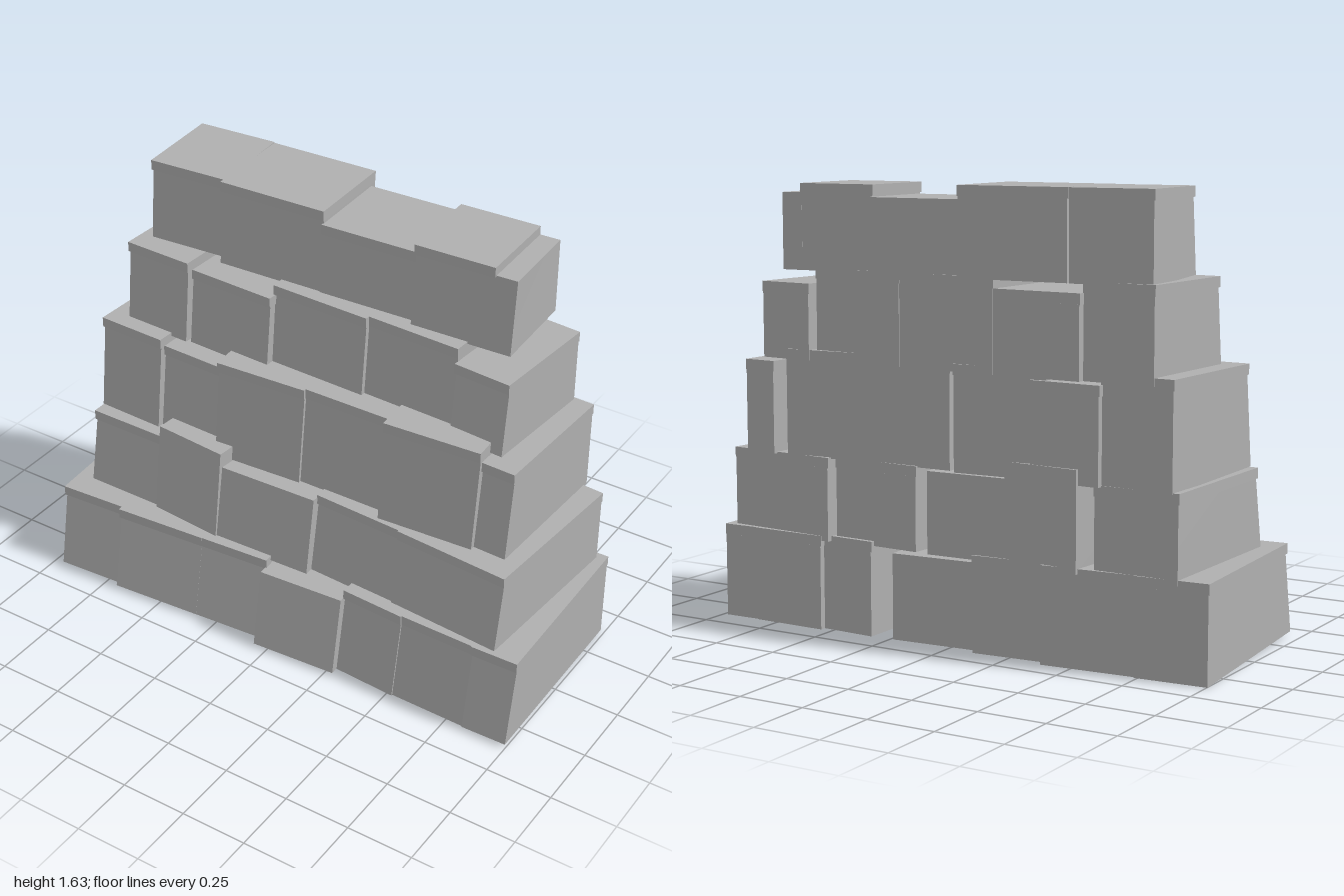
import * as THREE from 'three';

// Courses from the ground up. Each stone starts where its neighbour ends:
// [right edge, front z, yaw slope, drop below the course top (optional)]
const courses = [
  { name: 'baseCourse', left: -0.955, y: 0.015, top: 0.363, lean: 0.055, plain: [3], stones: [
    [-0.69, 0.4, -0.06], [-0.33, 0.398, -0.07], [-0.05, 0.375, -0.07], [0.285, 0.395, -0.06, 0.033],
    [0.53, 0.363, 0.06], [0.825, 0.368, 0.02], [0.998, 0.373, -0.02]] },
  { name: 'secondCourse', left: -0.9, y: 0.345, top: 0.653, lean: 0.05, plain: [1, 2], stones: [
    [-0.585, 0.26, 0.01], [-0.29, 0.288, 0.09, -0.05], [0.105, 0.289, -0.03, 0.01],
    [0.46, 0.26, 0.055], [0.9, 0.292, 0.075]] },
  { name: 'thirdCourse', left: -0.895, y: 0.648, top: 1.028, lean: 0.04, plain: [], stones: [
    [-0.625, 0.178, 0.04], [-0.355, 0.165, 0.04, 0.036], [0.002, 0.185, -0.055],
    [0.358, 0.164, 0], [0.725, 0.196, -0.06, -0.01], [0.85, 0.168, 0.04, 0.038]] },
  { name: 'fourthCourse', left: -0.82, y: 1.0, top: 1.333, lean: 0.03, plain: [], stones: [
    [-0.55, 0.085, 0.04], [-0.2, 0.07, 0.045, 0.038], [0.19, 0.052, 0.033],
    [0.555, 0.048, 0.04], [0.77, 0.074, 0.08, 0.055]] },
  { name: 'topCourse', left: -0.765, y: 1.325, top: 1.643, lean: 0.025, plain: [4], stones: [
    [-0.46, -0.025, -0.065], [-0.04, -0.023, -0.035], [0.34, -0.033, -0.04, 0.05],
    [0.64, -0.022, -0.04, 0.007], [0.722, -0.03, -0.05, 0.04]] },
];

const CAP = 0.038;

// Box whose corners come from a rule f(right, up, front), each argument 0 or 1
function hexahedron(f) {
  const geometry = new THREE.BoxGeometry(1, 1, 1);
  const p = geometry.attributes.position;
  for (let i = 0; i < p.count; i++) {
    p.setXYZ(i, ...f(p.getX(i) + 0.5, p.getY(i) + 0.5, p.getZ(i) + 0.5));
  }
  geometry.computeVertexNormals();
  return geometry;
}

function makeStone(course, index, x0, material) {
  const [x1, front, yaw, drop = 0] = course.stones[index];
  const stone = new THREE.Group();
  stone.name = 'stone';
  const capped = !course.plain.includes(index);
  const top = course.top - drop;
  const bodyTop = capped ? top - CAP : top;
  const back = -0.385 - 0.012 * Math.sin(index * 1.5); // uneven rear face
  const depth = front - back;

  // The yaw tilts front and back alike and shifts the back sideways
  const px = (r, f) => (r ? x1 : x0) + (f ? 0 : yaw * depth);
  const pz = (r, f) => (f ? front : back) + yaw * (r - 0.5) * (x1 - x0);

  const body = new THREE.Mesh(hexahedron((r, u, f) => [
    px(r, f),
    u ? bodyTop : course.y + (index === 0 || course.y < 0.1 ? 0.015 * f : 0),
    pz(r, f) - f * u * course.lean,
  ]), material);
  body.name = 'stoneBody';
  stone.add(body);

  // Thin slab lying on the stone, slightly proud of its leaning face
  if (capped) {
    const slab = new THREE.Mesh(hexahedron((r, u, f) => [
      px(r, f) + (r ? 0.003 : -0.003),
      u ? top : bodyTop,
      pz(r, f) - f * (course.lean - 0.008),
    ]), material);
    slab.name = 'capSlab';
    stone.add(slab);
  }
  return stone;
}

export function createModel() {
  const wall = new THREE.Group();
  wall.name = 'stoneWall';
  const stoneGrey = new THREE.MeshStandardMaterial({ color: 0xb0b0b0 });
  stoneGrey.name = 'stoneGrey';

  for (const course of courses) {
    const row = new THREE.Group();
    row.name = course.name;
    let x = course.left;
    course.stones.forEach((spec, index) => {
      row.add(makeStone(course, index, x, stoneGrey));
      x = spec[0];
    });
    wall.add(row);
  }
  return wall;
}
